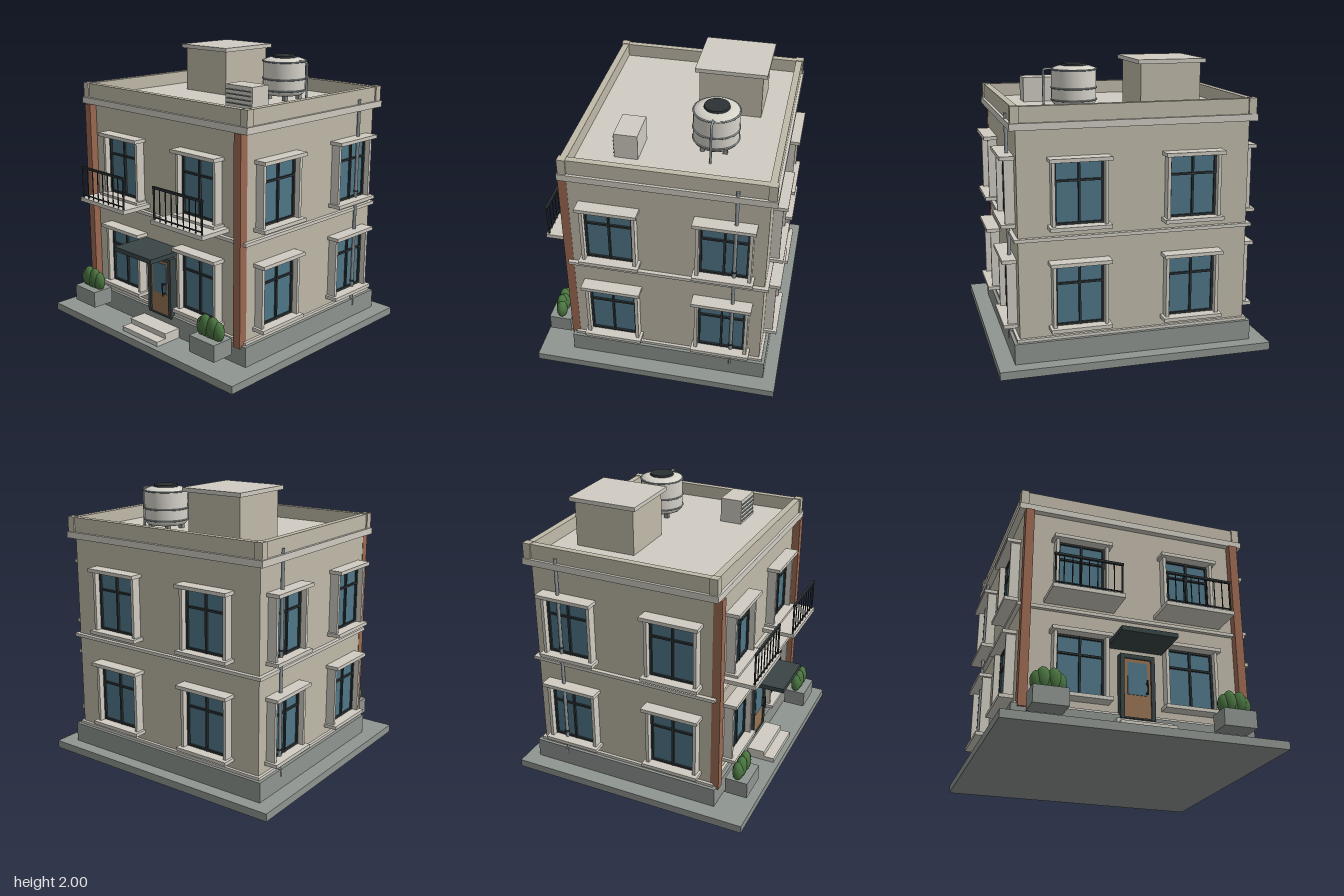
import * as THREE from 'three';

const mat = (color) => new THREE.MeshStandardMaterial({ color });
const M = {
  wall: mat(0xc0baa9), trim: mat(0xd0ccc2), stone: mat(0x8f9590), brick: mat(0x9c6a52),
  glass: mat(0x4f7688), dark: mat(0x2c3234), canopy: mat(0x3a4546), wood: mat(0x967252),
  leaf: mat(0x4a7540), metal: mat(0x8d9698), tank: mat(0xd6d3ca),
};
const CZ = -0.075; // centre of the house body in z
const HX = 0.785, HZ = 0.66; // half width and half depth of the walls

export function createModel() {
  const root = new THREE.Group();
  root.name = 'house';

  const add = (name, geo, m, x, y, z, parent = root) => {
    const mesh = new THREE.Mesh(geo, m);
    mesh.name = name;
    mesh.position.set(x, y, z);
    parent.add(mesh);
    return mesh;
  };
  // box from its min and max on each axis
  const box = (name, m, x0, x1, y0, y1, z0, z1, parent = root) =>
    add(name, new THREE.BoxGeometry(x1 - x0, y1 - y0, z1 - z0), m,
      (x0 + x1) / 2, (y0 + y1) / 2, (z0 + z1) / 2, parent);
  // box around the body, standing out from the walls by d
  const layer = (name, m, d, y0, y1) =>
    box(name, m, -HX - d, HX + d, y0, y1, CZ - HZ - d, CZ + HZ + d);
  const group = (name, x, y, z, ry = 0) => {
    const g = new THREE.Group();
    g.name = name;
    g.position.set(x, y, z);
    g.rotation.y = ry;
    root.add(g);
    return g;
  };

  // body
  box('groundSlab', M.stone, -0.94, 0.94, 0, 0.055, -0.87, 0.87);
  layer('plinth', M.stone, 0.042, 0.055, 0.195);
  layer('plinthBand', M.trim, 0.02, 0.195, 0.215);
  layer('walls', M.wall, 0, 0.19, 1.62);
  layer('floorBand', M.trim, 0.028, 0.875, 0.898);
  layer('cornice', M.trim, 0.044, 1.6, 1.645);
  layer('roofDeck', M.trim, 0.01, 1.63, 1.655);

  // parapet ring with corner posts
  const rect = (P, x, z) => new P([[-x, -z], [x, -z], [x, z], [-x, z]].map(p => new THREE.Vector2(...p)));
  const ring = rect(THREE.Shape, HX + 0.025, HZ + 0.025);
  ring.holes.push(rect(THREE.Path, HX - 0.02, HZ - 0.02));
  const ringGeo = new THREE.ExtrudeGeometry(ring, { depth: 0.103, bevelEnabled: false }).rotateX(-Math.PI / 2);
  add('parapet', ringGeo, M.wall, 0, 1.645, CZ);
  for (const sx of [-1, 1]) for (const sz of [-1, 1])
    add('parapetPost', new THREE.BoxGeometry(0.055, 0.107, 0.055), M.wall,
      sx * 0.793, 1.6985, CZ + sz * 0.668);

  // brick pilasters on the front corners
  for (const s of [-1, 1])
    add('pilaster', new THREE.BoxGeometry(0.06, 1.425, 0.06), M.brick, s * 0.757, 0.8875, 0.61);

  // windows: local origin at the wall plane, middle of the sill top
  const addWindow = (x, y, z, ry) => {
    const g = group('window', x, y, z, ry);
    const w = 0.164, h = 0.42;
    box('glass', M.glass, -w, w, 0, h, -0.01, 0.012, g);
    for (const s of [-1, 1]) {
      box('jamb', M.trim, s * 0.175 - 0.011, s * 0.175 + 0.011, 0, h, 0, 0.065, g);
      box('sashSide', M.dark, s * 0.157 - 0.008, s * 0.157 + 0.008, 0, h, 0, 0.025, g);
    }
    for (const b of [0.008, 0.29, h - 0.008])
      box('sashBar', M.dark, -w, w, b - 0.007, b + 0.007, 0, 0.025, g);
    box('mullion', M.dark, -0.007, 0.007, 0, h, 0, 0.027, g);
    box('lintel', M.trim, -0.205, 0.205, h, h + 0.025, 0, 0.095, g);
    box('sill', M.trim, -0.205, 0.205, -0.025, 0, 0, 0.095, g);
  };
  for (const y of [0.29, 0.975]) for (const o of [-0.385, 0.385]) {
    addWindow(o, y, CZ + HZ, 0);
    addWindow(o, y, CZ - HZ, Math.PI);
    addWindow(HX, y, CZ + o, Math.PI / 2);
    addWindow(-HX, y, CZ + o, -Math.PI / 2);
  }

  // balconies
  for (const s of [-1, 1]) {
    const g = group('balcony', s * 0.388, 0, 0);
    box('balconySlab', M.trim, -0.245, 0.245, 0.928, 0.957, 0.58, 0.825, g);
    box('handrail', M.dark, -0.236, 0.236, 1.172, 1.188, 0.8, 0.816, g);
    box('bottomRail', M.dark, -0.232, 0.232, 0.972, 0.98, 0.804, 0.812, g);
    for (let i = 0; i <= 8; i++) {
      const r = i % 8 ? 0.004 : 0.007;
      add('baluster', new THREE.CylinderGeometry(r, r, 0.225, 8), M.dark,
        -0.227 + i * 0.05675, 1.068, 0.808, g);
    }
  }

  // entrance
  const door = group('door', 0, 0, 0);
  for (const s of [-1, 1])
    box('doorPost', M.canopy, s * 0.106 - 0.014, s * 0.106 + 0.014, 0.175, 0.62, 0.58, 0.64, door);
  box('doorHead', M.canopy, -0.12, 0.12, 0.59, 0.62, 0.58, 0.64, door);
  box('doorSill', M.canopy, -0.12, 0.12, 0.175, 0.185, 0.58, 0.64, door);
  box('doorLeaf', M.wood, -0.092, 0.092, 0.185, 0.59, 0.58, 0.63, door);
  box('doorGlass', M.glass, -0.068, 0.068, 0.34, 0.565, 0.62, 0.634, door);
  add('doorHandle', new THREE.CylinderGeometry(0.005, 0.005, 0.1, 10), M.dark, 0.06, 0.39, 0.662, door);
  for (const y of [0.355, 0.425])
    box('handleMount', M.dark, 0.056, 0.064, y - 0.004, y + 0.004, 0.63, 0.662, door);
  box('canopy', M.canopy, -0.192, 0.192, 0.668, 0.7, 0.58, 0.875);
  box('lowerStep', M.trim, -0.187, 0.187, 0.055, 0.088, 0.6, 0.83);
  box('upperStep', M.trim, -0.187, 0.187, 0.088, 0.126, 0.6, 0.755);

  // planters with shrubs
  for (const s of [-1, 1]) {
    const g = group('planter', s * 0.625, 0, 0.75);
    box('planterBox', M.stone, -0.115, 0.115, 0.132, 0.25, -0.08, 0.08, g);
    for (let i = -2; i <= 2; i++) {
      const shrub = add('shrub', new THREE.SphereGeometry(1, 14, 10), M.leaf,
        i * 0.035, i % 2 ? 0.322 : 0.305, i % 2 ? 0.006 : -0.004, g);
      shrub.scale.set(0.048, i % 2 || !i ? 0.078 : 0.07, 0.038);
    }
  }

  // downpipes on both sides
  for (const s of [-1, 1]) {
    const g = group('downpipe', s * 0.813, 0, -0.53);
    add('pipe', new THREE.CylinderGeometry(0.012, 0.012, 1.52, 12), M.metal, 0, 0.92, 0, g);
    add('pipeShoe', new THREE.CylinderGeometry(0.008, 0.008, 0.05, 12), M.metal, s * 0.012, 0.17, 0, g);
    for (const y of [0.335, 1.02]) {
      add('pipeClip', new THREE.CylinderGeometry(0.016, 0.016, 0.012, 12), M.dark, 0, y, 0, g);
      add('clipArm', new THREE.BoxGeometry(0.035, 0.008, 0.01), M.dark, -s * 0.012, y, 0, g);
    }
  }

  // stair head on the roof
  box('stairHead', M.wall, -0.5, -0.085, 1.65, 1.975, -0.55, -0.115);
  box('stairHeadCap', M.trim, -0.525, -0.057, 1.972, 2, -0.58, -0.088);

  // water tank
  const tank = group('waterTank', 0.312, 0, -0.305);
  const profile = [[0, 1.69], [0.13, 1.69], [0.147, 1.705], [0.152, 1.73], [0.152, 1.92],
    [0.147, 1.935], [0.115, 1.947], [0.085, 1.952], [0, 1.952]].map(p => new THREE.Vector2(...p));
  add('tankBody', new THREE.LatheGeometry(profile, 40), M.tank, 0, 0, 0, tank);
  add('tankLid', new THREE.CylinderGeometry(0.083, 0.087, 0.018, 32), M.dark, 0, 1.957, 0, tank);
  for (const y of [1.725, 1.805, 1.928])
    add('tankHoop', new THREE.TorusGeometry(0.153, 0.006, 8, 40).rotateX(Math.PI / 2), M.metal, 0, y, 0, tank);
  for (const sx of [-1, 1]) for (const sz of [-1, 1])
    add('tankFoot', new THREE.BoxGeometry(0.03, 0.045, 0.03), M.stone, sx * 0.075, 1.672, sz * 0.075, tank);
  const path = new THREE.CatmullRomCurve3([[0.13, 1.932], [0.19, 1.932], [0.208, 1.925], [0.208, 1.9], [0.208, 1.65]]
    .map(([x, y]) => new THREE.Vector3(x, y, 0)), false, 'catmullrom', 0.1);
  add('tankPipe', new THREE.TubeGeometry(path, 32, 0.008, 10), M.metal, 0, 0, 0, tank);

  // air conditioner with slats
  box('airConditioner', M.trim, 0.335, 0.578, 1.65, 1.83, 0.157, 0.315);
  for (let i = 0; i < 5; i++)
    box('slat', M.metal, 0.345, 0.568, 1.675 + i * 0.03, 1.683 + i * 0.03, 0.31, 0.323);

  return root;
}
